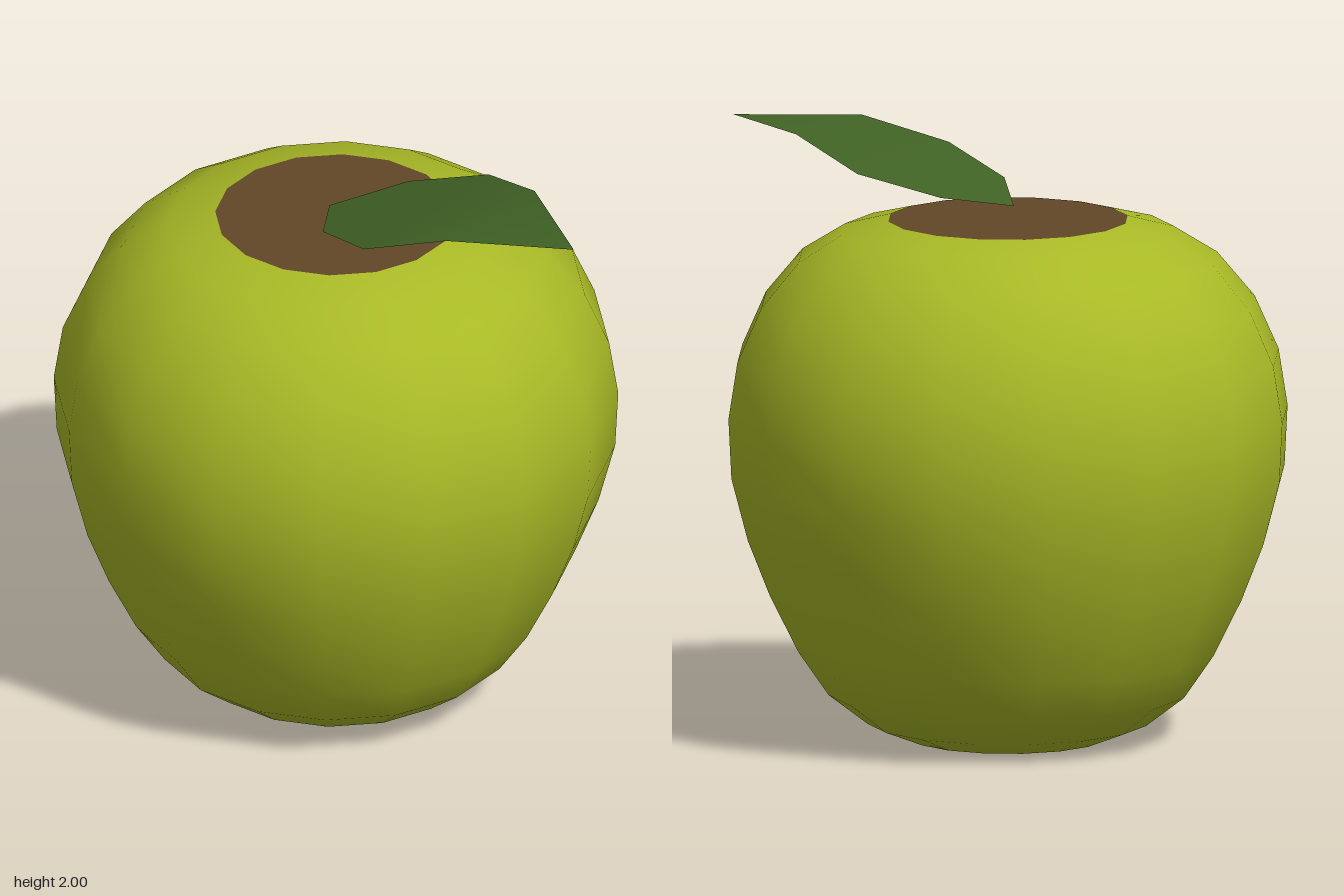
import * as THREE from 'three';

const skin = new THREE.MeshStandardMaterial({ color: 0xa8b926 });
skin.name = 'apple green';
const bark = new THREE.MeshStandardMaterial({ color: 0x634727 });
bark.name = 'brown';
const foliage = new THREE.MeshStandardMaterial({ color: 0x406225, side: THREE.DoubleSide });
foliage.name = 'leaf green';

const SIDES = 16;

function add(parent, name, geometry, material) {
  const mesh = new THREE.Mesh(geometry, material);
  mesh.name = name;
  parent.add(mesh);
  return mesh;
}

// Leaf sheet: pointed base and tip, with left/right edge pairs between them
function leafGeometry() {
  const base = [-0.06, 1.78, 0.02];
  const tip = [0.98, 2.0, -0.135];
  const pairs = [
    [[0.06, 1.83, -0.225], [0.12, 1.83, 0.21]],
    [[0.3, 1.905, -0.365], [0.4, 1.91, 0.278]],
    [[0.6, 1.997, -0.3], [0.65, 1.995, 0.135]],
  ];
  const index = [0, 2, 1];
  for (let i = 0; i < pairs.length - 1; i++) {
    const a = 1 + i * 2;
    index.push(a, a + 1, a + 2, a + 1, a + 3, a + 2);
  }
  index.push(5, 6, 7);
  const geometry = new THREE.BufferGeometry();
  geometry.setAttribute('position', new THREE.Float32BufferAttribute([base, ...pairs.flat(), tip].flat(), 3));
  geometry.setIndex(index);
  geometry.computeVertexNormals();
  return geometry;
}

export function createModel() {
  const group = new THREE.Group();
  group.name = 'apple';

  const fruit = new THREE.Group();
  fruit.name = 'fruit';
  fruit.position.x = -0.05;
  group.add(fruit);

  // Fruit flesh, turned from bottom to top
  const profile = [
    [0.2, 0], [0.33, 0], [0.47, 0.055], [0.6, 0.155], [0.7, 0.3], [0.795, 0.49], [0.87, 0.68],
    [0.925, 0.89], [0.935, 1.09], [0.905, 1.28], [0.825, 1.46], [0.7, 1.61],
    [0.555, 1.7], [0.4, 1.74],
  ].map(([r, y]) => new THREE.Vector2(r, y));
  add(fruit, 'skin', new THREE.LatheGeometry(profile, SIDES), skin);

  // Brown patches closing the top and the bottom
  const patch = (name, radius, y, tilt) => {
    const geometry = new THREE.CircleGeometry(radius, SIDES).rotateX(tilt);
    add(fruit, name, geometry, bark).position.y = y;
  };
  patch('topPatch', 0.4, 1.74, -Math.PI / 2);
  patch('bottomPatch', 0.2, 0, Math.PI / 2);

  add(group, 'leaf', leafGeometry(), foliage);
  return group;
}
